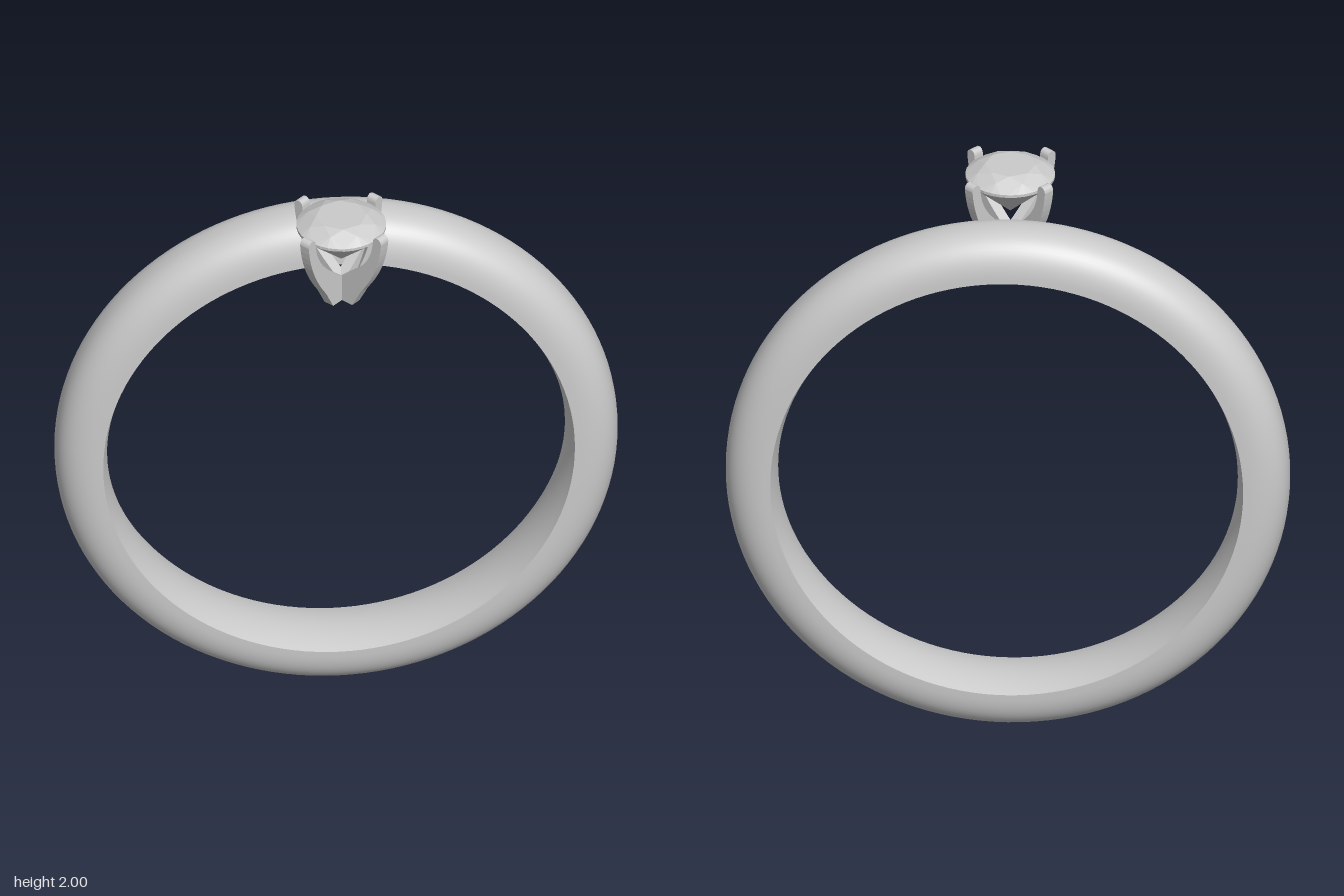
import * as THREE from 'three';
import { ConvexGeometry } from 'three/addons/geometries/ConvexGeometry.js';

const metal = new THREE.MeshStandardMaterial({ color: 0xcccccc });
const stone = new THREE.MeshStandardMaterial({ color: 0xcccccc, flatShading: true });

function part(name, geometry, material = metal) {
  const mesh = new THREE.Mesh(geometry, material);
  mesh.name = name;
  return mesh;
}

// Band surface: profile of (radius, offset) turned about the z axis
function turned(points) {
  return new THREE.LatheGeometry(points, 128).rotateX(Math.PI / 2);
}

function createBand() {
  const band = new THREE.Group();
  band.name = 'band';
  const half = 0.128, edge = 0.79, outer = [], inner = [];
  // Domed outside (superellipse) and slightly bulged inside
  const power = 2 / 2.4;
  for (let i = 0; i <= 28; i++) {
    const a = -Math.PI / 2 + (i / 28) * Math.PI;
    const c = Math.max(0, Math.cos(a)), s = Math.sin(a);
    outer.push(new THREE.Vector2(edge + 0.153 * c ** power, half * Math.sign(s) * Math.abs(s) ** power));
  }
  for (let i = 0; i <= 10; i++) {
    const t = 1 - i / 5;
    inner.push(new THREE.Vector2(0.768 + (edge - 0.768) * t * t, half * t));
  }
  band.add(part('bandOutside', turned(outer)), part('bandInside', turned(inner)));
  band.position.set(0, 0.945, -0.123);
  return band;
}

// Flat curved plate, centred on its thickness
function plate(draw, thickness) {
  const shape = new THREE.Shape();
  draw(shape);
  return new THREE.ExtrudeGeometry(shape, { depth: thickness, bevelEnabled: false, curveSegments: 10 })
    .translate(0, 0, -thickness / 2);
}

function createSetting() {
  const setting = new THREE.Group();
  setting.name = 'setting';

  // Four flared prongs that meet at the base
  const prong = plate((s) => {
    s.moveTo(0, 1.672);
    s.lineTo(0.064, 1.672);
    s.lineTo(0.1, 1.74);
    s.bezierCurveTo(0.15, 1.81, 0.182, 1.88, 0.19, 1.97);
    s.quadraticCurveTo(0.188, 1.99, 0.17, 1.99);
    s.quadraticCurveTo(0.154, 1.988, 0.154, 1.965);
    s.bezierCurveTo(0.148, 1.89, 0.11, 1.84, 0, 1.755);
  }, 0.038);
  for (let i = 0; i < 4; i++) {
    const mesh = part('prong', prong);
    mesh.rotation.y = Math.PI / 4 + (i * Math.PI) / 2;
    setting.add(mesh);
  }

  // Small curved struts beside the back prongs
  const strut = plate((s) => {
    s.moveTo(0.05, 1.745);
    s.lineTo(0.075, 1.74);
    s.quadraticCurveTo(0.115, 1.81, 0.125, 1.9);
    s.lineTo(0.1, 1.905);
    s.quadraticCurveTo(0.09, 1.82, 0.05, 1.745);
  }, 0.03);
  for (const side of [0, Math.PI]) {
    const mesh = part('strut', strut);
    mesh.rotation.y = side;
    mesh.position.z = -0.035;
    setting.add(mesh);
  }
  return setting;
}

// Faceted round stone: table, crown, girdle, pavilion and point
function createGem() {
  const points = [new THREE.Vector3(0, 1.822, 0)];
  const ring = (radius, y, count, turn = 0) => {
    for (let i = 0; i < count; i++) {
      const a = ((i + turn) / count) * Math.PI * 2;
      points.push(new THREE.Vector3(radius * Math.cos(a), y, radius * Math.sin(a)));
    }
  };
  ring(0.085, 2.0, 8);
  ring(0.118, 1.987, 8, 0.5);
  ring(0.15, 1.965, 32);
  ring(0.15, 1.955, 32);
  ring(0.045, 1.862, 8, 0.5);
  return part('gem', new ConvexGeometry(points), stone);
}

export function createModel() {
  const model = new THREE.Group();
  model.name = 'ring';
  const head = new THREE.Group();
  head.name = 'head';
  head.add(createSetting(), createGem());
  head.position.z = 0.095;
  model.add(createBand(), head);
  return model;
}
